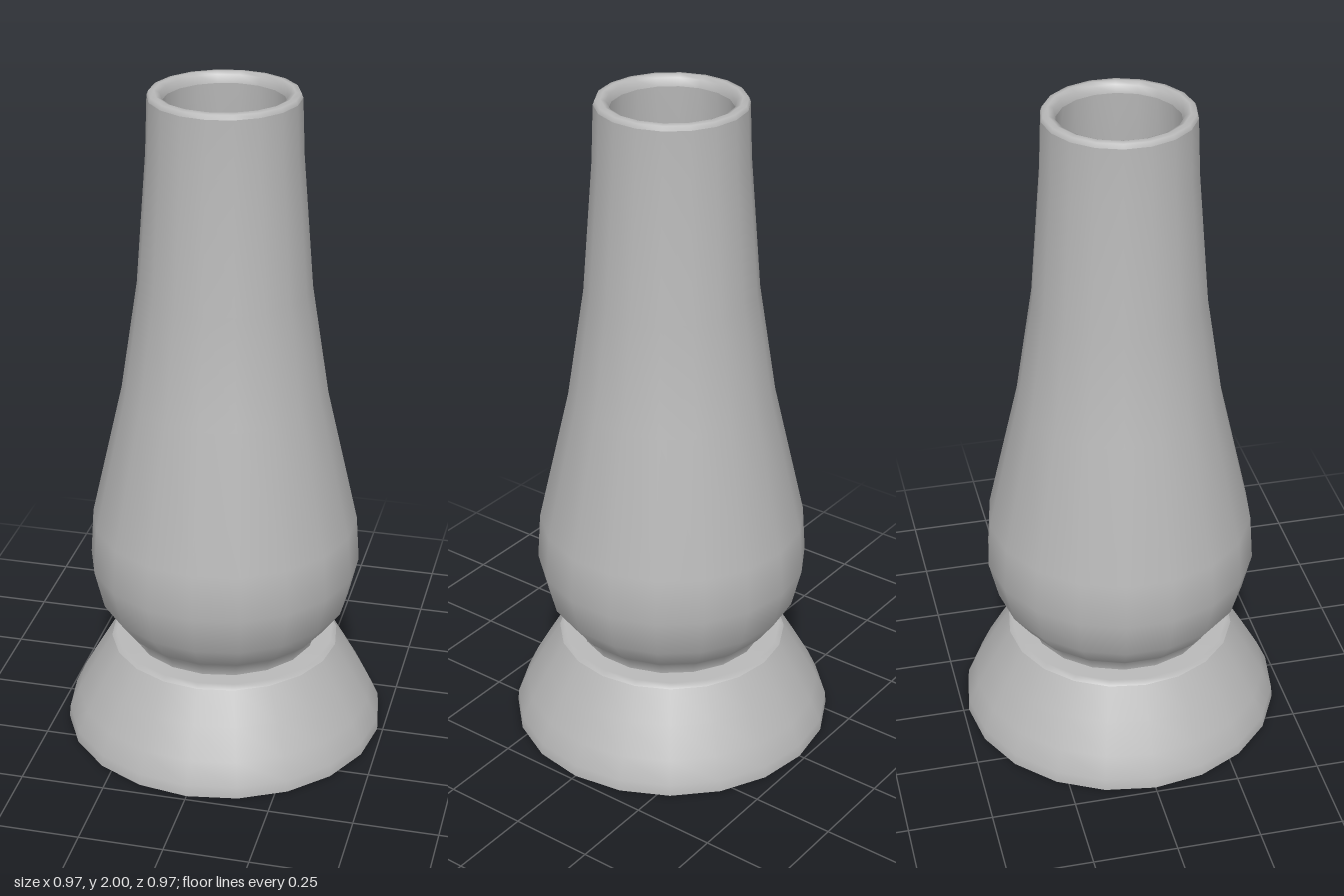
import * as THREE from 'three';

const grey = new THREE.MeshStandardMaterial({ color: 0xb8b8b8 });
grey.name = 'grey shell';
const orange = new THREE.MeshStandardMaterial({ color: 0xdc520f });
orange.name = 'orange flame';

// Turned part from [radius, height] pairs, listed upwards on the outside
function turned(name, profile, segments, material) {
  const points = profile.map(([r, y]) => new THREE.Vector2(r, y));
  const mesh = new THREE.Mesh(new THREE.LatheGeometry(points, segments), material);
  mesh.name = name;
  return mesh;
}

export function createModel() {
  const lamp = new THREE.Group();
  lamp.name = 'lamp';

  // Flared foot, with the flat faces kept separate for sharp edges
  lamp.add(turned('footUnderside', [[0, 0], [0.483, 0]], 20, grey));
  lamp.add(turned('foot', [
    [0.483, 0], [0.48, 0.035], [0.45, 0.1], [0.4, 0.19], [0.345, 0.285],
  ], 20, grey));
  lamp.add(turned('footTop', [[0.345, 0.285], [0.33, 0.297], [0, 0.3]], 20, grey));

  // Bulbous chimney
  lamp.add(turned('chimney', [
    [0.28, 0.295], [0.285, 0.325], [0.32, 0.355], [0.375, 0.43], [0.404, 0.55],
    [0.395, 0.69], [0.302, 1.1], [0.252, 1.43], [0.222, 1.82], [0.216, 1.985],
  ], 18, grey));

  // Rolled lip around the opening
  lamp.add(turned('rim', [
    [0.216, 1.985], [0.211, 1.998], [0.195, 2], [0.18, 1.993], [0.174, 1.97],
  ], 18, grey));

  // Hollow inside, down to the floor
  lamp.add(turned('chimneyInside', [
    [0.174, 1.97], [0.18, 1.82], [0.21, 1.43], [0.26, 1.1], [0.35, 0.69],
    [0.36, 0.55], [0.33, 0.45], [0.24, 0.36], [0, 0.35],
  ], 18, grey));

  // Rounded flame glowing inside
  lamp.add(turned('flame', [
    [0, 0.4], [0.13, 0.42], [0.21, 0.52], [0.23, 0.65], [0.21, 0.82],
    [0.165, 0.96], [0.11, 1.05], [0.055, 1.09], [0, 1.1],
  ], 18, orange));

  return lamp;
}
